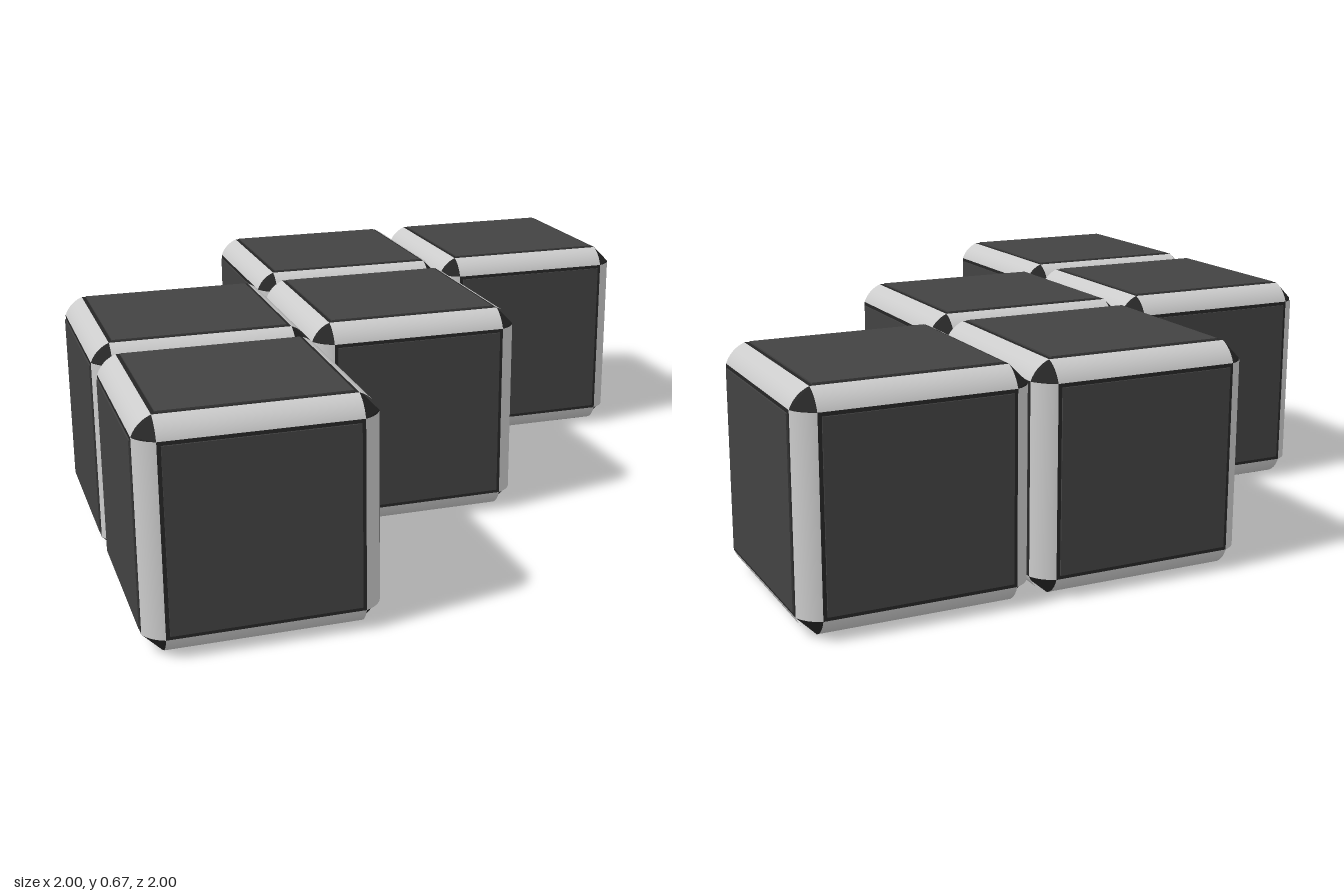
import * as THREE from 'three';
import { mergeGeometries } from 'three/addons/utils/BufferGeometryUtils.js';
import { ConvexGeometry } from 'three/addons/geometries/ConvexGeometry.js';

const CELL = 2 / 3;
const CORE = 0.329;   // half size of the dark core
const FLAT = 0.274;   // half width of each flat side of the core
const QUARTER = Math.PI / 2;

// Chamfered cube that shows as the dark rims and the corner triangles
function coreGeometry() {
  const points = [];
  for (const sx of [-1, 1]) for (const sy of [-1, 1]) for (const sz of [-1, 1]) {
    points.push(
      new THREE.Vector3(sx * CORE, sy * FLAT, sz * FLAT),
      new THREE.Vector3(sx * FLAT, sy * CORE, sz * FLAT),
      new THREE.Vector3(sx * FLAT, sy * FLAT, sz * CORE)
    );
  }
  return new ConvexGeometry(points);
}

// Six thin panels standing slightly proud of the core
function panelGeometry() {
  const depth = 0.02, width = 0.526;
  const panel = new THREE.BoxGeometry(width, width, depth).translate(0, 0, CELL / 2 - depth / 2);
  const parts = [];
  for (let k = 0; k < 4; k++) parts.push(panel.clone().rotateY(k * QUARTER));
  parts.push(panel.clone().rotateX(QUARTER), panel.clone().rotateX(-QUARTER));
  return mergeGeometries(parts);
}

// Twelve gently rounded strips laid over the chamfers
function stripGeometry() {
  const half = THREE.MathUtils.degToRad(25);
  const radius = (CORE - FLAT) * Math.SQRT2 / 2 / Math.sin(half);
  const axis = (CORE + FLAT) / 2 - radius * Math.cos(half) / Math.SQRT2;
  const strip = new THREE.CylinderGeometry(
    radius, radius, FLAT * 2, 6, 1, true, Math.PI / 4 - half, half * 2
  ).translate(axis, 0, axis);
  const parts = [];
  for (let k = 0; k < 4; k++) {
    const upright = strip.clone().rotateY(k * QUARTER);
    parts.push(upright, upright.clone().rotateX(QUARTER), upright.clone().rotateZ(QUARTER));
  }
  return mergeGeometries(parts);
}

export function createModel() {
  const model = new THREE.Group();
  model.name = 'steppedBlocks';

  const parts = [
    ['core', coreGeometry(), new THREE.MeshStandardMaterial({ color: 0x262626 })],
    ['facePanels', panelGeometry(), new THREE.MeshStandardMaterial({ color: 0x424242 })],
    ['edgeStrips', stripGeometry(), new THREE.MeshStandardMaterial({ color: 0xcccccc })]
  ];

  // Five cubes in a staircase, as [x, z] cells
  const cells = [[-1, 1], [-1, 0], [0, 0], [0, -1], [1, -1]];
  for (const [x, z] of cells) {
    const cube = new THREE.Group();
    cube.name = 'cube';
    for (const [name, geometry, material] of parts) {
      const mesh = new THREE.Mesh(geometry, material);
      mesh.name = name;
      cube.add(mesh);
    }
    cube.position.set(x * CELL, CELL / 2, z * CELL);
    model.add(cube);
  }
  return model;
}
